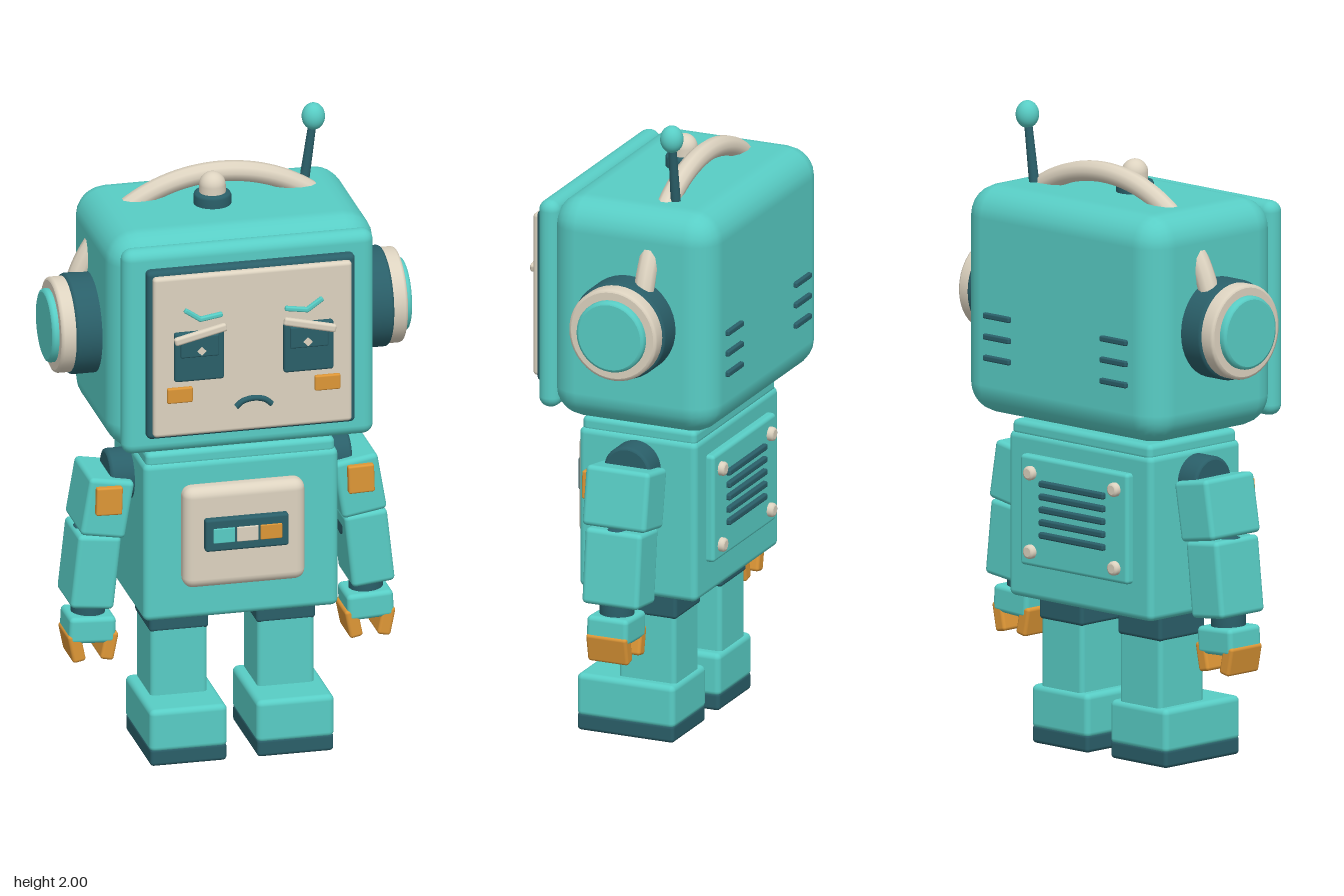
import * as THREE from 'three';
import { RoundedBoxGeometry } from 'three/addons/geometries/RoundedBoxGeometry.js';

const mat = (name, color) => {
  const m = new THREE.MeshStandardMaterial({ color });
  m.name = name;
  return m;
};

export function createModel() {
  const teal = mat('teal', 0x58cdc5);
  const dark = mat('dark teal', 0x2a5f69);
  const cream = mat('cream', 0xddd3c0);
  const orange = mat('orange', 0xdd9636);
  const model = new THREE.Group();
  model.name = 'robot';

  const add = (name, geo, material, x = 0, y = 0, z = 0, parent = model) => {
    const mesh = new THREE.Mesh(geo, material);
    mesh.name = name;
    mesh.position.set(x, y, z);
    parent.add(mesh);
    return mesh;
  };
  // rounded box given by its limits on each axis
  const box = (name, material, [x0, x1], [y0, y1], [z0, z1], r = 0.015, parent = model) =>
    add(name, new RoundedBoxGeometry(x1 - x0, y1 - y0, z1 - z0, 3, r), material,
      (x0 + x1) / 2, (y0 + y1) / 2, (z0 + z1) / 2, parent);
  // lathe-turned disc with softened rims, along y
  const disc = (r, h, b = 0.01) => {
    const pts = [[0, -h / 2], [r - b, -h / 2], [r - b, -h / 2], [r - b * 0.3, -h / 2 + b * 0.3], [r, -h / 2 + b],
      [r, h / 2 - b], [r - b * 0.3, h / 2 - b * 0.3], [r - b, h / 2], [r - b, h / 2], [0, h / 2]];
    return new THREE.LatheGeometry(pts.map(p => new THREE.Vector2(...p)), 40);
  };
  const tube = (pts, r, seg = 24) =>
    new THREE.TubeGeometry(new THREE.CatmullRomCurve3(pts.map(p => new THREE.Vector3(...p))), seg, r, 10);

  // head, front rim and screen
  box('head', teal, [-0.42, 0.42], [1.04, 1.75], [-0.34, 0.21], 0.095);
  box('headRim', teal, [-0.395, 0.395], [1.06, 1.728], [0.187, 0.257], 0.034);
  box('screenFrame', dark, [-0.327, 0.327], [1.12, 1.67], [0.24, 0.287], 0.015);
  box('screen', cream, [-0.312, 0.312], [1.132, 1.655], [0.27, 0.306], 0.012);

  // face
  for (const s of [-1, 1]) {
    const face = new THREE.Group();
    face.name = s < 0 ? 'rightFaceSide' : 'leftFaceSide';
    model.add(face);
    const cx = s * 0.172;
    box('eye', dark, [cx - 0.078, cx + 0.078], [1.315, 1.475], [0.3, 0.322], 0.008, face);
    box('pupil', dark, [cx - 0.06, cx + 0.06], [1.395, 1.465], [0.315, 0.328], 0.005, face);
    const glint = add('eyeGlint', new THREE.BoxGeometry(0.02, 0.02, 0.008), cream, cx - s * 0.005, 1.415, 0.328, face);
    glint.rotation.z = Math.PI / 4;
    const lid = add('eyelid', new RoundedBoxGeometry(0.168, 0.026, 0.02, 3, 0.008), cream, cx, 1.472, 0.333, face);
    lid.rotation.z = -s * 0.23;
    // two-stroke eyebrow
    const brow = [[0.213, 1.545], [0.168, 1.514], [0.103, 1.524]];
    for (let i = 0; i < 2; i++) {
      const [a, b] = [brow[i], brow[i + 1]];
      const bar = add('eyebrow', new RoundedBoxGeometry(Math.hypot(b[0] - a[0], b[1] - a[1]) + 0.01, 0.015, 0.016, 2, 0.005),
        teal, s * (a[0] + b[0]) / 2, (a[1] + b[1]) / 2, 0.313, face);
      bar.rotation.z = Math.atan2(b[1] - a[1], s * (b[0] - a[0]));
    }
    const chk = s * 0.232;
    box('cheek', orange, [chk - 0.04, chk + 0.04], [1.246, 1.295], [0.303, 0.319], 0.005, face);
  }
  add('mouth', tube([[-0.056, 1.217, 0.315], [-0.035, 1.234, 0.315], [0, 1.241, 0.315],
    [0.035, 1.234, 0.315], [0.056, 1.217, 0.315]], 0.009), dark);

  // ear cups and rear head vents
  for (const s of [-1, 1]) {
    for (const [name, m, r, x0, x1] of [['earCup', dark, 0.156, 0.39, 0.5],
      ['earRing', cream, 0.148, 0.49, 0.545], ['earCap', teal, 0.114, 0.53, 0.566]]) {
      add(name, disc(r, x1 - x0), m, s * (x0 + x1) / 2, 1.385, -0.068).rotation.z = Math.PI / 2;
    }
    for (const y of [1.357, 1.291, 1.225])
      box('headVent', dark, [s * 0.25 - 0.056, s * 0.25 + 0.056], [y - 0.009, y + 0.009], [-0.352, -0.33], 0.005);
  }

  // headband arching over the head
  const arch = [];
  for (let i = 0; i <= 16; i++) {
    const a = Math.PI * i / 16;
    arch.push([0.467 * Math.cos(a), 1.385 + 0.43 * Math.sin(a), -0.13]);
  }
  add('headband', tube(arch, 0.032, 64), cream);

  // knob and antenna on top
  add('knobBase', disc(0.058, 0.06), dark, -0.043, 1.757, -0.042);
  add('knobStem', new THREE.CylinderGeometry(0.041, 0.041, 0.04, 24), cream, -0.043, 1.79, -0.042);
  add('knobDome', new THREE.SphereGeometry(0.041, 24, 16), cream, -0.043, 1.81, -0.042);
  const rod = add('antennaRod', new THREE.CylinderGeometry(0.012, 0.016, 0.24, 16), dark, 0.287, 1.84, -0.158);
  rod.rotation.z = -0.14;
  add('antennaTip', new THREE.SphereGeometry(0.036, 24, 16), teal, 0.303, 1.957, -0.158).scale.y = 1.19;

  // neck and torso
  add('neck', new THREE.CylinderGeometry(0.11, 0.11, 0.09, 32), dark, 0, 1.03, -0.042);
  box('collar', teal, [-0.297, 0.297], [0.97, 1.02], [-0.234, 0.147], 0.017);
  box('torso', teal, [-0.306, 0.306], [0.47, 0.985], [-0.24, 0.155], 0.02);

  // chest panel with three indicator lights
  box('chestPanel', cream, [-0.193, 0.19], [0.587, 0.915], [0.14, 0.215], 0.032);
  box('chestDisplay', dark, [-0.132, 0.13], [0.715, 0.82], [0.2, 0.237], 0.008);
  [teal, cream, orange].forEach((m, i) => {
    const x = (i - 1) * 0.074;
    box('indicatorLight', m, [x - 0.034, x + 0.034], [0.743, 0.791], [0.232, 0.241], 0.003);
  });

  // back panel with vents and screws
  box('backPanel', teal, [-0.23, 0.23], [0.58, 0.925], [-0.266, -0.23], 0.012);
  for (let i = -2; i <= 2; i++) {
    const y = 0.765 + i * 0.04;
    box('backVent', dark, [-0.138, 0.138], [y - 0.01, y + 0.01], [-0.28, -0.26], 0.006);
  }
  for (const x of [-0.18, 0.18]) for (const y of [0.627, 0.872])
    add('screw', disc(0.022, 0.03, 0.008), cream, x, y, -0.27).rotation.x = Math.PI / 2;

  // arms and legs
  for (const s of [-1, 1]) {
    const arm = new THREE.Group();
    arm.name = s < 0 ? 'rightArm' : 'leftArm';
    model.add(arm);
    const joint = (name, r, w, x, y) =>
      add(name, disc(r, w), dark, s * x, y, -0.042, arm).rotation.z = Math.PI / 2;
    const limb = (name, m, w, h, d, x, y, z, tilt, r = 0.015) =>
      add(name, new RoundedBoxGeometry(w, h, d, 3, r), m, s * x, y, z, arm).rotation.z = s * tilt;
    joint('shoulder', 0.08, 0.09, 0.335, 0.89);
    limb('upperArm', teal, 0.142, 0.187, 0.214, 0.397, 0.817, -0.042, 0.17);
    limb('shoulderPatch', orange, 0.082, 0.09, 0.03, 0.396, 0.848, 0.069, 0.03, 0.006);
    joint('elbow', 0.055, 0.125, 0.417, 0.68);
    limb('lowerArm', teal, 0.136, 0.238, 0.19, 0.43, 0.605, -0.042, 0.11);
    add('wrist', disc(0.053, 0.08), dark, s * 0.437, 0.463, -0.035, arm);
    limb('hand', teal, 0.146, 0.085, 0.138, 0.437, 0.41, -0.032, 0.05);
    limb('outerFinger', orange, 0.042, 0.092, 0.136, 0.487, 0.356, -0.032, -0.2, 0.01);
    limb('innerFinger', orange, 0.042, 0.092, 0.136, 0.384, 0.356, -0.032, 0.2, 0.01);

    const leg = new THREE.Group();
    leg.name = s < 0 ? 'rightLeg' : 'leftLeg';
    model.add(leg);
    const cx = s * 0.168;
    const span = w => [cx - w / 2, cx + w / 2];
    box('hip', dark, span(0.186), [0.39, 0.49], [-0.153, 0.045], 0.012, leg);
    box('leg', teal, span(0.178), [0.16, 0.415], [-0.148, 0.043], 0.015, leg);
    box('foot', teal, span(0.244), [0.045, 0.183], [-0.158, 0.17], 0.018, leg);
    box('sole', dark, span(0.24), [0, 0.058], [-0.156, 0.168], 0.012, leg);
  }
  return model;
}
